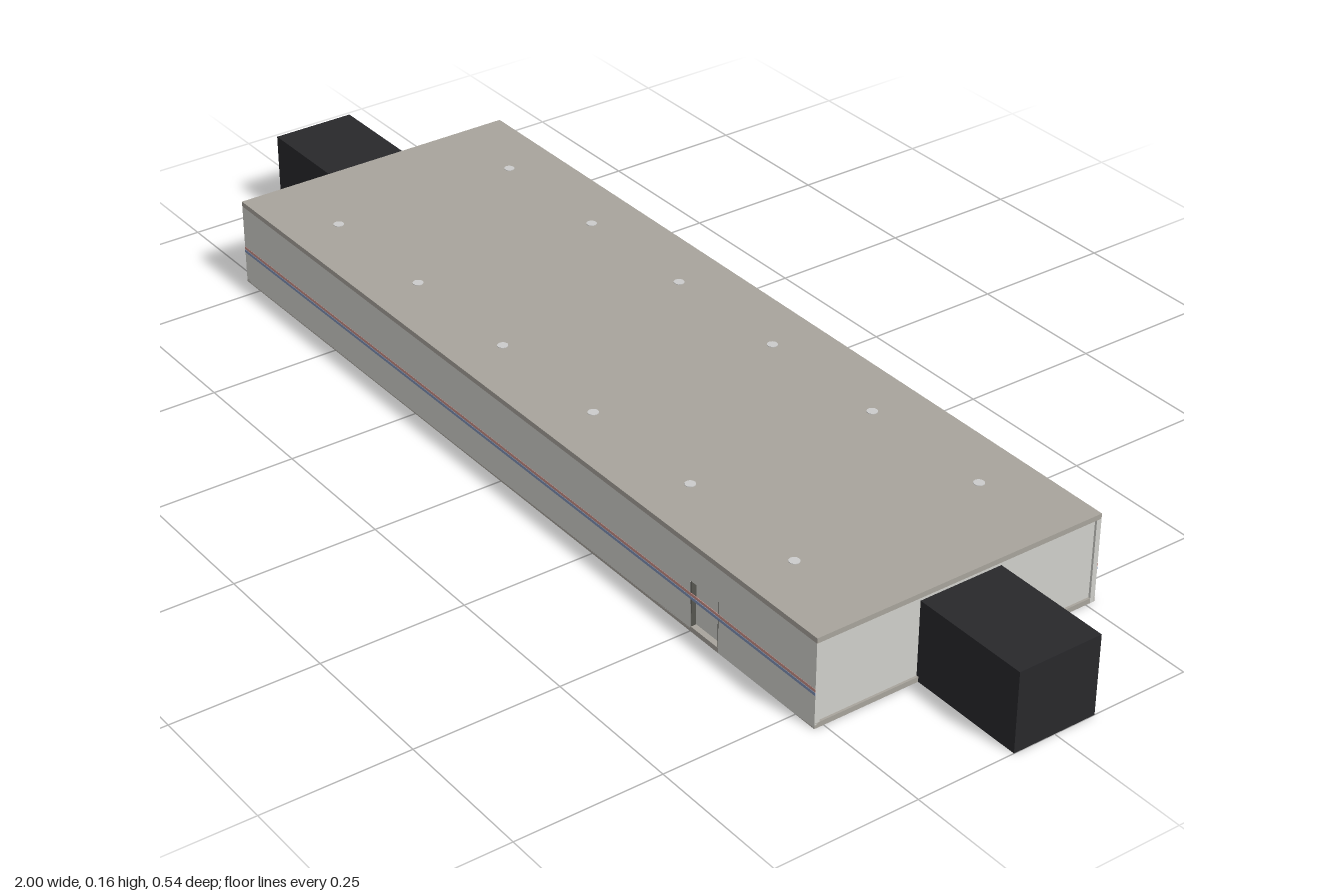
import * as THREE from 'three';

const W = 1.586, D = 0.534, H = 0.157, T = 0.009; // housing size and sheet thickness

function mat(color, side = THREE.FrontSide) {
  return new THREE.MeshStandardMaterial({ color, side });
}

export function createModel() {
  const model = new THREE.Group();
  const plateMat = mat(0xa8a49c), wallMat = mat(0xd0d0cb), beamMat = mat(0x28282b);
  const trimMat = mat(0x55554f), boltMat = mat(0xd8d8d4);
  const redMat = mat(0xc89088), blueMat = mat(0x7f93b8);

  function add(parent, name, geometry, material, x, y, z) {
    const mesh = new THREE.Mesh(geometry, material);
    mesh.name = name;
    mesh.position.set(x, y, z);
    parent.add(mesh);
    return mesh;
  }
  const box = (parent, name, w, h, d, material, x, y, z) =>
    add(parent, name, new THREE.BoxGeometry(w, h, d), material, x, y, z);

  // Central beam running through the housing
  box(model, 'beam', 2, 0.14, 0.152, beamMat, 0, 0.07, 0);

  // Top and bottom plates; the bottom one leaves the beam exposed
  box(model, 'topPlate', W, T, D, plateMat, 0, H - T / 2, 0);
  const strip = D / 2 - 0.076;
  for (const s of [-1, 1]) {
    box(model, 'bottomPlate', W, T, strip, plateMat, 0, T / 2, s * (0.076 + strip / 2));
  }

  // Bolt heads in two rows on both plates
  const boltGeo = new THREE.CylinderGeometry(0.009, 0.009, 0.002, 16);
  for (let i = 0; i < 6; i++) {
    for (const z of [-0.175, 0.175]) {
      add(model, 'topBolt', boltGeo, boltMat, -0.625 + i * 0.25, H, z);
      add(model, 'bottomBolt', boltGeo, boltMat, -0.625 + i * 0.25, 0.001, z);
    }
  }

  // Side wall outline with a notch cut up from the lower edge
  const wallShape = new THREE.Shape([
    [-W / 2, 0], [0.5, 0], [0.5, 0.09], [0.568, 0.09], [0.568, 0],
    [W / 2, 0], [W / 2, H - T], [-W / 2, H - T],
  ].map(([x, y]) => new THREE.Vector2(x, y)));
  const wallGeo = new THREE.ExtrudeGeometry(wallShape, { depth: T, bevelEnabled: false });

  // End panel outline with a slot for the beam
  const h = D / 2 - T;
  const endShape = new THREE.Shape([
    [-h, T], [-0.076, T], [-0.076, 0.14], [0.076, 0.14],
    [0.076, T], [h, T], [h, H - T], [-h, H - T],
  ].map(([x, y]) => new THREE.Vector2(x, y)));
  const endGeo = new THREE.ExtrudeGeometry(endShape, { depth: T, bevelEnabled: false });

  // The two halves repeat under a half turn
  for (const turn of [0, Math.PI]) {
    const half = new THREE.Group();
    half.name = turn ? 'backHalf' : 'frontHalf';
    half.rotation.y = turn;
    model.add(half);

    const z = D / 2;
    add(half, 'sideWall', wallGeo, wallMat, 0, 0, z - T);
    box(half, 'notchPanel', 0.09, 0.1, 0.004, wallMat, 0.534, 0.05, z - T - 0.003);

    // Thin two-colour stripe along the wall
    box(half, 'redStripe', W, 0.005, 0.001, redMat, 0, 0.0665, z);
    box(half, 'blueStripe', W, 0.005, 0.001, blueMat, 0, 0.0605, z);

    // Dark seams beside the notch
    for (const x of [0.5, 0.568]) {
      box(half, 'notchSeam', 0.004, 0.09, T, trimMat, x, 0.045, z - T / 2 - 0.0005);
    }

    // End panel, set slightly inside the plates
    const end = add(half, 'endPanel', endGeo, wallMat, W / 2 - T - 0.004, 0, 0);
    end.rotation.y = Math.PI / 2;
  }
  return model;
}
